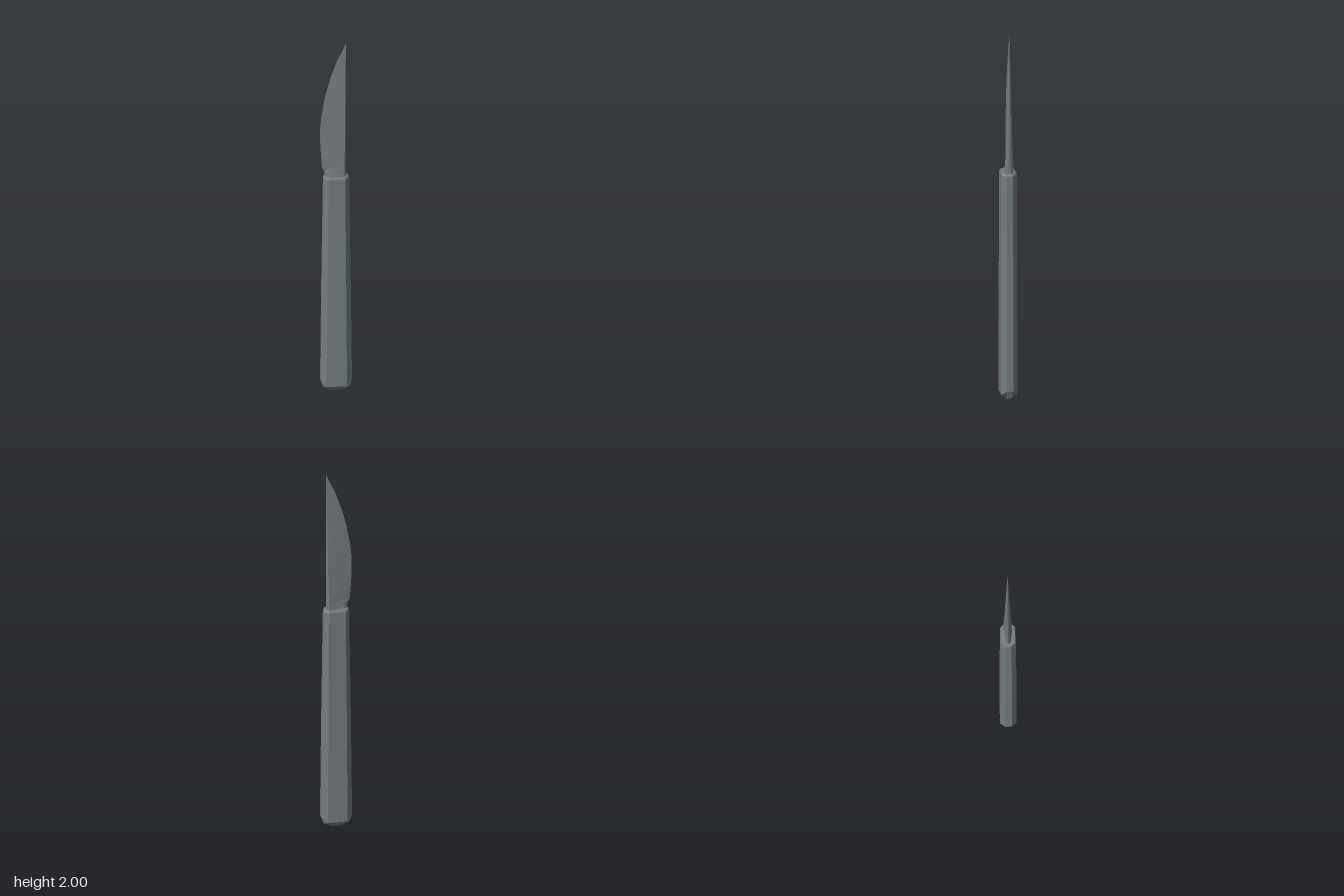
import * as THREE from 'three';

// Skins closed rings of [x, y, z] points from bottom to top, capping both ends, with crisp facets.
function loft(rings) {
  const pos = [];
  const tri = (a, b, c) => pos.push(...a, ...b, ...c);
  for (let k = 0; k < rings.length - 1; k++) {
    const lo = rings[k], hi = rings[k + 1], n = lo.length;
    for (let i = 0; i < n; i++) {
      const j = (i + 1) % n;
      tri(lo[i], lo[j], hi[j]);
      tri(lo[i], hi[j], hi[i]);
    }
  }
  const first = rings[0], last = rings[rings.length - 1];
  for (let i = 1; i < first.length - 1; i++) {
    tri(first[0], first[i + 1], first[i]);
    tri(last[0], last[i], last[i + 1]);
  }
  const g = new THREE.BufferGeometry();
  g.setAttribute('position', new THREE.Float32BufferAttribute(pos, 3));
  g.computeVertexNormals();
  return g;
}

// Chamfered octagon: narrow sides at +-sx, broad faces at +-fz; each may sit at its own height.
function octagon(sx, sz, sy, fx, fz, fy = sy) {
  return [
    [sx, sy, sz], [sx, sy, -sz], [fx, fy, -fz], [-fx, fy, -fz],
    [-sx, sy, -sz], [-sx, sy, sz], [-fx, fy, fz], [fx, fy, fz],
  ];
}

// Blade section: thin cutting edge at -x, thick shoulder, chamfered spine at +x.
function bladeSection(y, edge, cheek, cheekZ, t) {
  const shoulder = 0.052 - 0.45 * t, spine = 0.053;
  return [
    [spine, y, 0.3 * t], [spine, y, -0.3 * t], [shoulder, y, -t], [cheek, y, -cheekZ],
    [edge, y, 0], [cheek, y, cheekZ], [shoulder, y, t],
  ];
}

export function createModel() {
  const model = new THREE.Group();
  const steel = new THREE.MeshStandardMaterial({ color: 0x747c7f });
  steel.name = 'grey steel';

  const add = (name, geometry) => {
    const mesh = new THREE.Mesh(geometry, steel);
    mesh.name = name;
    model.add(mesh);
  };

  // Tapered handle with a bevelled butt and a small lip at the top
  add('handle', loft([
    octagon(0.068, 0.01, 0.02, 0.02, 0.01, 0),
    octagon(0.082, 0.017, 0.06, 0.053, 0.043, 0.035),
    octagon(0.076, 0.017, 0.6, 0.049, 0.042),
    octagon(0.067, 0.016, 1.23, 0.044, 0.04),
    octagon(0.062, 0.015, 1.24, 0.042, 0.036),
  ]));

  // Curved blade: height, edge x, cheek x, cheek half thickness, spine half thickness
  const sections = [
    [1.235, -0.056, -0.04, 0.014, 0.024],
    [1.26, -0.061, -0.038, 0.011, 0.023],
    [1.29, -0.073, -0.035, 0.008, 0.022],
    [1.36, -0.079, -0.03, 0.008, 0.019],
    [1.44, -0.083, -0.03, 0.006, 0.016],
    [1.52, -0.083, -0.03, 0.0055, 0.014],
    [1.6, -0.075, -0.025, 0.005, 0.012],
    [1.7, -0.057, -0.015, 0.0045, 0.009],
    [1.8, -0.031, 0, 0.003, 0.006],
    [1.9, 0.004, 0.022, 0.0016, 0.003],
    [2.0, 0.052, 0.0522, 0.0001, 0.0002],
  ];
  add('blade', loft(sections.map((s) => bladeSection(...s))));

  return model;
}
